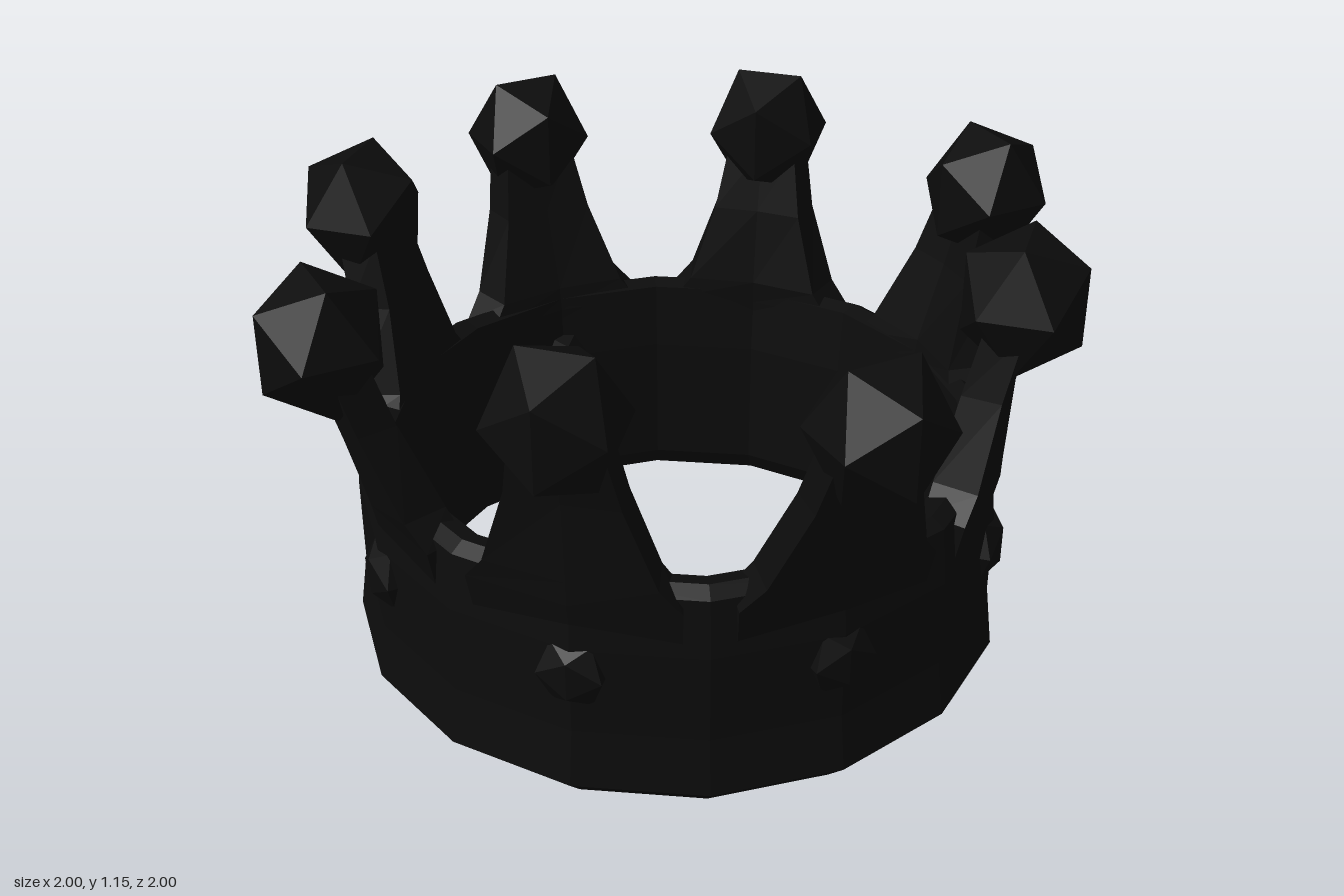
import * as THREE from 'three';

const black = new THREE.MeshStandardMaterial({ color: 0x0c0c0c, flatShading: true });
black.name = 'black';

function part(name, geometry, parent) {
  const mesh = new THREE.Mesh(geometry, black);
  mesh.name = name;
  parent.add(mesh);
  return mesh;
}

// Curved, tapering prong facing +z, lofted from rows of [y, half width, inner radius, outer radius]
function prongGeometry(rows) {
  const pos = [], index = [], n = 6;
  for (const [y, w, rIn, rOut] of rows) {
    const a = w / rOut;
    for (const [r, t] of [[rOut, -a], [rOut, 0], [rOut, a], [rIn, a], [rIn, 0], [rIn, -a]]) {
      pos.push(r * Math.sin(t), y, r * Math.cos(t));
    }
  }
  for (let i = 0; i < rows.length - 1; i++) {
    for (let j = 0; j < n; j++) {
      const a = i * n + j, b = i * n + (j + 1) % n;
      index.push(a, b, b + n, a, b + n, a + n);
    }
  }
  const top = (rows.length - 1) * n;
  for (let j = 1; j < n - 1; j++) index.push(top, top + j, top + j + 1);
  const geometry = new THREE.BufferGeometry();
  geometry.setAttribute('position', new THREE.Float32BufferAttribute(pos, 3));
  geometry.setIndex(index);
  geometry.computeVertexNormals();
  return geometry;
}

export function createModel() {
  const crown = new THREE.Group();
  crown.name = 'crown';

  // Hollow band with a rounded lower rim
  const profile = [
    [0.69, 0.01], [0.74, 0], [0.8, 0.06], [0.79, 0.13], [0.78, 0.2], [0.78, 0.42],
    [0.765, 0.56], [0.73, 0.58], [0.685, 0.57], [0.67, 0.4], [0.665, 0.06], [0.69, 0.01],
  ].map(([r, y]) => new THREE.Vector2(r, y));
  part('band', new THREE.LatheGeometry(profile, 16), crown);

  // Eight prongs; the diagonal ones lean out less and stand a little taller
  for (let i = 0; i < 8; i++) {
    const diagonal = i % 2 === 1;
    const lean = diagonal ? 0.065 : 0;
    const lift = diagonal ? 0.02 : 0;
    const point = new THREE.Group();
    point.name = 'point' + (i + 1);
    point.rotation.y = i * Math.PI / 4;
    crown.add(point);

    part('prong', prongGeometry([
      [0.42, 0.24, 0.68, 0.76],
      [0.54, 0.25, 0.68, 0.785],
      [0.6, 0.2, 0.69 - lean * 0.2, 0.8 - lean * 0.2],
      [0.8, 0.13, 0.755 - lean * 0.8, 0.85 - lean * 0.8],
      [0.96, 0.1, 0.8 - lean, 0.89 - lean],
    ]), point);

    // Faceted ball on the tip
    const ball = part('ball', new THREE.IcosahedronGeometry(0.16, 0), point);
    ball.scale.y = 1.13;
    ball.position.set(0, 0.98 + lift, 0.864 - lean);

    // Studs on the outer and inner wall
    const stud = part('outerStud', new THREE.IcosahedronGeometry(0.09, 0), point);
    stud.scale.z = 0.5;
    stud.position.set(0, 0.35, 0.766);
    if (!diagonal) {
      const inner = part('innerStud', new THREE.IcosahedronGeometry(0.08, 0), point);
      inner.scale.z = 0.5;
      inner.position.set(0, 0.4, 0.68);
    }
  }
  return crown;
}
